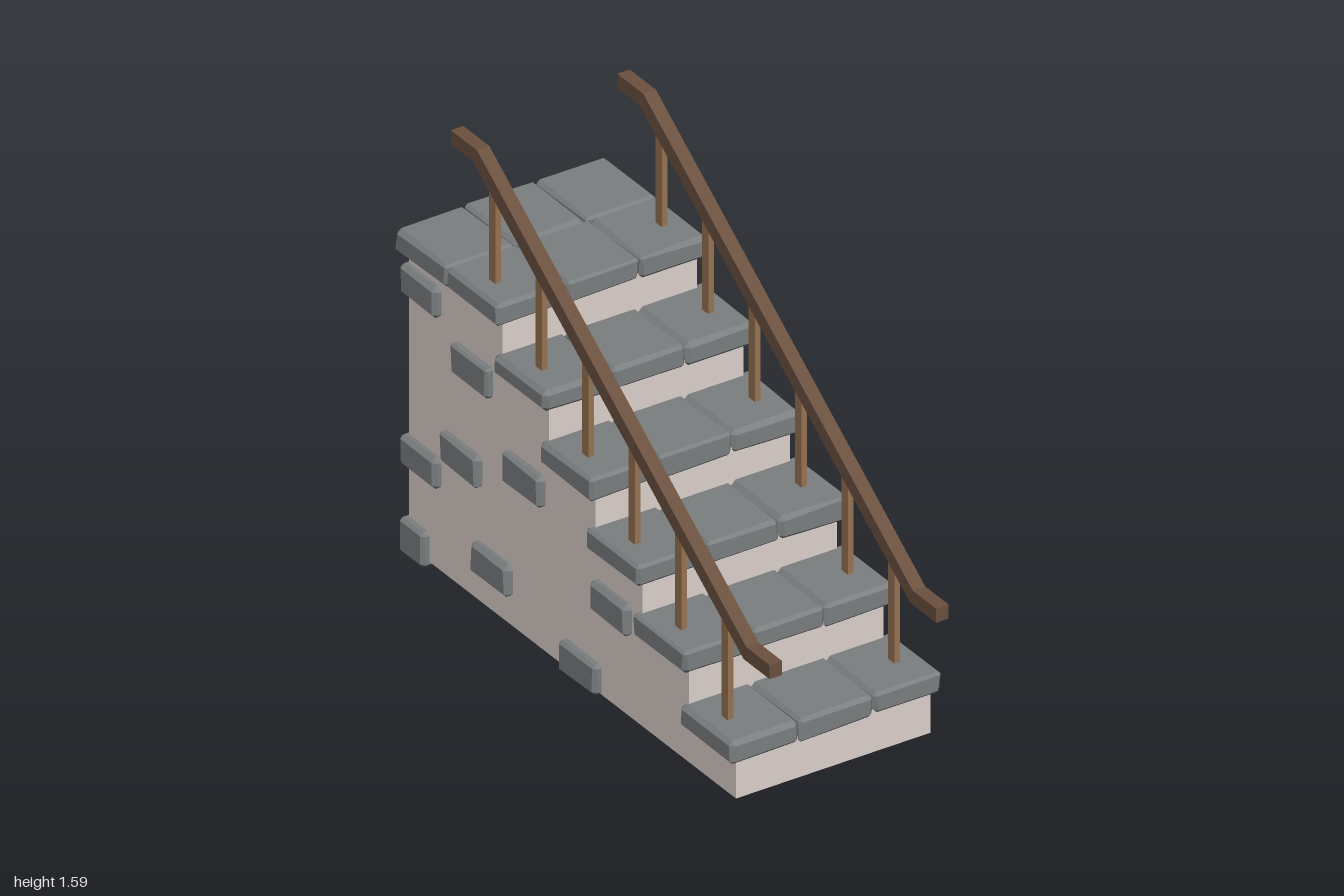
import * as THREE from 'three';
import { ConvexGeometry } from 'three/addons/geometries/ConvexGeometry.js';

const material = (color) => new THREE.MeshStandardMaterial({ color, flatShading: true });

export function createModel() {
  const model = new THREE.Group();
  const plaster = material(0xddd2cc);
  const slate = material(0x7b7f80);
  const darkWood = material(0x6b503f);
  const lightWood = material(0x977452);

  let seed = 7;
  const rand = () => (seed = (seed * 16807) % 2147483647) / 2147483647 - 0.5;

  const add = (parent, name, geometry, mat) => {
    const mesh = new THREE.Mesh(geometry, mat);
    mesh.name = name;
    parent.add(mesh);
    return mesh;
  };
  const addGroup = (name) => {
    const group = new THREE.Group();
    group.name = name;
    model.add(group);
    return group;
  };

  // Chamfered, slightly uneven stone between two corners
  const stone = (parent, name, x0, x1, y0, y1, z0, z1, bevel = 0.012) => {
    const half = [(x1 - x0) / 2, (y1 - y0) / 2, (z1 - z0) / 2];
    const points = [];
    for (const sx of [-1, 1]) for (const sy of [-1, 1]) for (const sz of [-1, 1]) {
      const cut = bevel * (1 + rand() * 0.9);
      for (let axis = 0; axis < 3; axis++) {
        const p = [sx, sy, sz].map((s, i) => s * (half[i] - (i === axis ? 0 : cut)));
        points.push(new THREE.Vector3(...p));
      }
    }
    add(parent, name, new ConvexGeometry(points), slate)
      .position.set((x0 + x1) / 2, (y0 + y1) / 2, (z0 + z1) / 2);
  };

  // Extrude a (z, y) side profile across x
  const sideExtrude = (profile, x0, x1) => {
    const shape = new THREE.Shape(profile.map(([z, y]) => new THREE.Vector2(-z, y)));
    const geometry = new THREE.ExtrudeGeometry(shape, { depth: x1 - x0, bevelEnabled: false });
    return geometry.rotateY(Math.PI / 2).translate(x0, 0, 0);
  };

  // Plastered stepped body
  const treadBottom = [0.15, 0.34, 0.52, 0.7, 0.885, 1.065];
  const riserZ = [0.86, 0.6, 0.34, 0.08, -0.178, -0.435];
  const profile = [[-0.955, 0.02]];
  riserZ.forEach((z, i) => {
    profile.push([z, i ? treadBottom[i - 1] + 0.02 : 0.02], [z, treadBottom[i] + 0.02]);
  });
  profile.push([-0.955, 1.085]);
  add(model, 'body', sideExtrude(profile, -0.36, 0.355), plaster);

  // Treads, three stones per row, with a second row on the landing
  const treads = addGroup('treads');
  const splits = [-0.385, -0.125, 0.135, 0.39];
  const treadRow = (name, y, z0, z1) => {
    const shift = [0, rand() * 0.015, rand() * 0.015, 0];
    for (let i = 0; i < 3; i++) {
      stone(treads, name, splits[i] + shift[i], splits[i + 1] + shift[i + 1],
        y + rand() * 0.006, y + 0.08 + rand() * 0.004, z0, z1 + rand() * 0.008);
    }
  };
  treadBottom.forEach((y, i) => treadRow('tread', y, riserZ[i] - 0.28, riserZ[i] + 0.01));
  treadRow('landingStone', 1.065, -1, -0.71);

  // Stones set into the walls
  const wallStones = addGroup('wallStones');
  const W = 0.102, H = 0.055;
  // Left wall: z, y centres
  [[0.333, 0.075], [-0.037, 0.365], [-0.315, 0.58], [-0.607, 0.945], [-0.688, 0.47],
    [-0.547, 0.368], [-0.71, 0.172]].forEach(([z, y]) =>
    stone(wallStones, 'leftWallStone', 0.3, 0.373, y - H, y + H, z - W, z + W));
  // Right wall: z, y centres
  [[0.01, 0.07], [0.18, 0.367], [-0.3, 0.587], [-0.65, 0.485], [-0.48, 0.18], [-0.59, 0.83]]
    .forEach(([z, y]) =>
      stone(wallStones, 'rightWallStone', -0.387, -0.3, y - H, y + H, z - W, z + W));
  // Back wall: x, y centres
  [[0.14, 0.985], [0.04, 0.75], [-0.115, 0.635], [0.04, 0.363], [0.175, 0.155]].forEach(([x, y]) =>
    stone(wallStones, 'backWallStone', x - W, x + W, y - H, y + H, -0.972, -0.9));
  // Rear corners
  stone(wallStones, 'cornerStone', 0.24, 0.373, 0.77, 0.875, -0.975, -0.77);
  stone(wallStones, 'cornerStone', -0.387, -0.25, 0.31, 0.42, -0.975, -0.775);
  stone(wallStones, 'cornerStone', -0.387, -0.25, 0.92, 1.03, -0.975, -0.775);
  stone(wallStones, 'cornerStone', -0.387, -0.18, 0, 0.125, -0.975, -0.84);

  // Handrails with level ends, carried on slim balusters
  const railProfile = [[1, 0.505], [0.855, 0.505], [-0.65, 1.535], [-0.77, 1.535],
    [-0.77, 1.585], [-0.625, 1.585], [0.87, 0.555], [1, 0.555]];
  for (const side of [-1, 1]) {
    const railing = addGroup(side > 0 ? 'leftRailing' : 'rightRailing');
    const x = side * 0.306;
    add(railing, 'handrail', sideExtrude(railProfile, x - 0.023, x + 0.023), darkWood);
    treadBottom.forEach((y, i) => {
      const z = 0.73 - i * 0.258;
      const bottom = y + 0.06;
      const top = 0.52 + (0.855 - z) * 0.684;
      add(railing, 'baluster', new THREE.BoxGeometry(0.02, top - bottom, 0.036), lightWood)
        .position.set(x, (top + bottom) / 2, z);
    });
  }
  return model;
}
